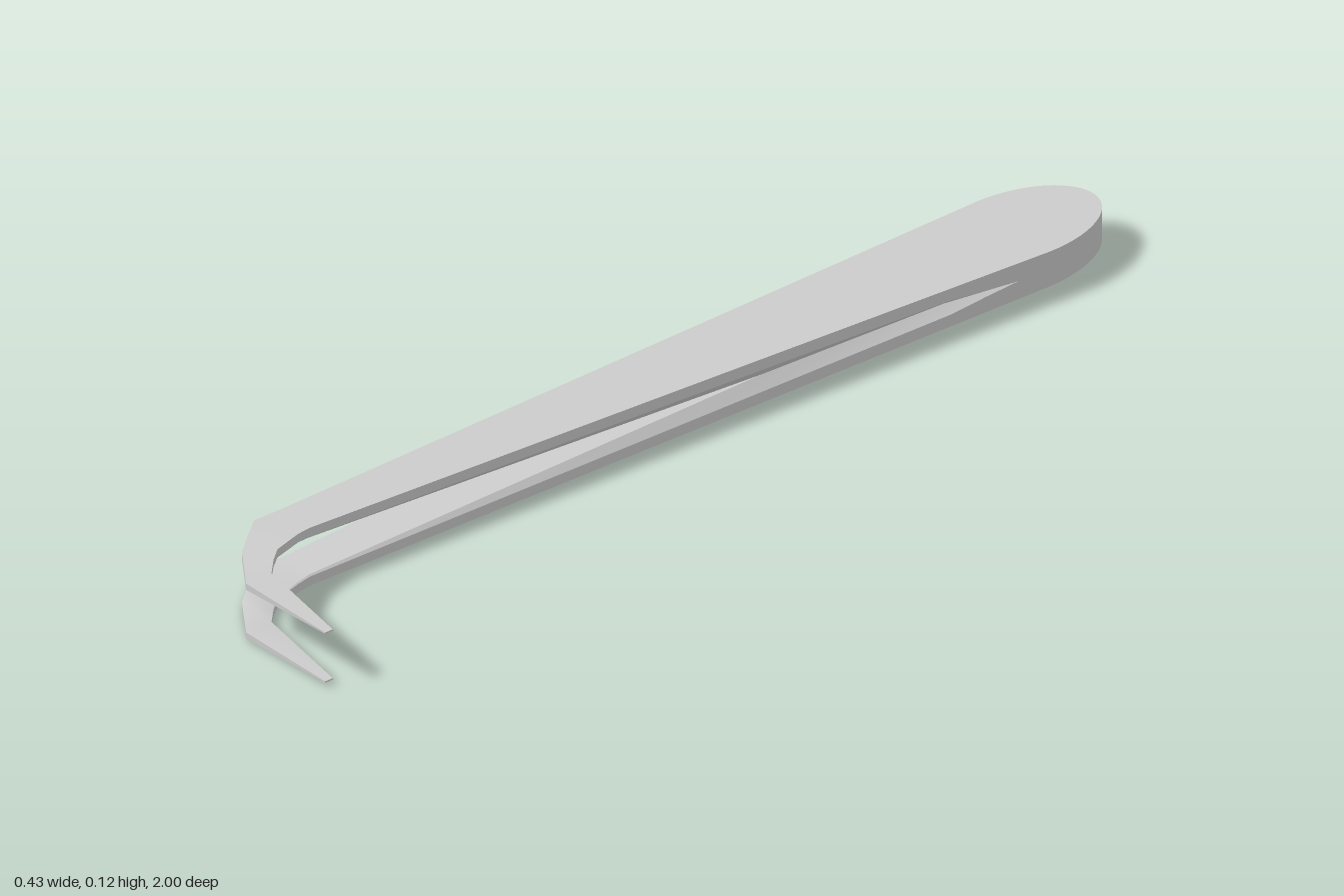
import * as THREE from 'three';
import { toCreasedNormals } from 'three/addons/utils/BufferGeometryUtils.js';

const MID = 0.0635; // height of the plane where the two arms meet
const { lerp, clamp, mapLinear } = THREE.MathUtils;

// One station of an arm: outer and inner edge in plan, then heights above MID
function station(outer, inner, top, side, belly, inset) {
  return { outer, inner, top, side, belly, inset };
}

function armStations() {
  const list = [];
  // Rounded handle end, solid down to the middle plane
  const N = 14;
  for (let i = 0; i < N; i++) {
    const a = (i / N) * Math.PI / 2;
    const z = -0.82 - 0.18 * Math.cos(a);
    const w = 0.105 * Math.sin(a);
    const top = mapLinear(z, -1, 0.86, 0.034, 0.062);
    list.push(station([-0.11 - w, z], [-0.11 + w, z], top, 0, 0, 0));
  }
  // Long tapering blade; a side groove opens first, then the gap between the arms
  for (const z of [-0.82, -0.75, -0.68, -0.6, -0.4, -0.2, 0, 0.2, 0.4, 0.6, 0.8]) {
    const t = (z + 0.82) / 1.62;
    const w = lerp(0.105, 0.04, t);
    const cx = lerp(-0.11, -0.104, t);
    const groove = clamp((z + 0.75) / 0.15, 0, 1);
    const gap = Math.max(0, (z + 0.2) / 1.05) * 0.041;
    const side = Math.max(gap, groove * mapLinear(z, -0.6, 0.85, 0.015, 0.043));
    const inset = groove * clamp(mapLinear(z, -0.2, 0.8, 0.018, 0.003), 0.003, 0.018);
    list.push(station([cx - w, z], [cx + w, z],
      mapLinear(z, -1, 0.86, 0.034, 0.062), side, gap, inset));
  }
  // Bent pointed tip
  list.push(
    station([-0.143, 0.865], [-0.060, 0.83], 0.062, 0.044, 0.042, 0.003),
    station([-0.110, 0.905], [-0.043, 0.89], 0.0615, 0.044, 0.043, 0.002),
    station([-0.075, 0.945], [-0.022, 0.915], 0.060, 0.045, 0.044, 0.002),
    station([0.008, 1.0], [0.008, 0.943], 0.058, 0.0455, 0.045, 0),
    station([0.215, 0.983], [0.215, 0.966], 0.053, 0.050, 0.050, 0),
  );
  return list;
}

// Six-sided cross-sections joined into a closed arm; sign -1 mirrors it downwards
function armGeometry(sign) {
  const rings = armStations().map(s => {
    const o = new THREE.Vector2(...s.outer), n = new THREE.Vector2(...s.inner);
    const dir = n.clone().sub(o).normalize().multiplyScalar(s.inset);
    const oi = o.clone().add(dir), ni = n.clone().sub(dir);
    return [[o, s.top], [n, s.top], [n, s.side], [ni, s.belly], [oi, s.belly], [o, s.side]]
      .map(([p, h]) => new THREE.Vector3(p.x, MID + sign * h, p.y));
  });
  const pos = [];
  const tri = (a, b, c) => {
    if (new THREE.Triangle(a, b, c).getArea() < 1e-8) return;
    for (const p of sign > 0 ? [a, b, c] : [a, c, b]) pos.push(p.x, p.y, p.z);
  };
  for (let i = 0; i < rings.length - 1; i++) {
    const A = rings[i], B = rings[i + 1];
    for (let j = 0; j < 6; j++) {
      const k = (j + 1) % 6;
      // The arms are fused here, so no face is needed between them
      if (j === 3 && Math.abs(A[3].y - MID) < 1e-6 && Math.abs(B[3].y - MID) < 1e-6) continue;
      tri(A[j], B[j], A[k]);
      tri(A[k], B[j], B[k]);
    }
  }
  // Cap at the point
  const end = rings[rings.length - 1];
  for (let k = 1; k < 5; k++) tri(end[0], end[k + 1], end[k]);
  const geo = new THREE.BufferGeometry();
  geo.setAttribute('position', new THREE.Float32BufferAttribute(pos, 3));
  return toCreasedNormals(geo, 0.5);
}

export function createModel() {
  const model = new THREE.Group();
  model.name = 'tweezers';
  const material = new THREE.MeshStandardMaterial({ color: 0xcccccc });
  for (const [name, sign] of [['upperArm', 1], ['lowerArm', -1]]) {
    const arm = new THREE.Mesh(armGeometry(sign), material);
    arm.name = name;
    model.add(arm);
  }
  return model;
}
